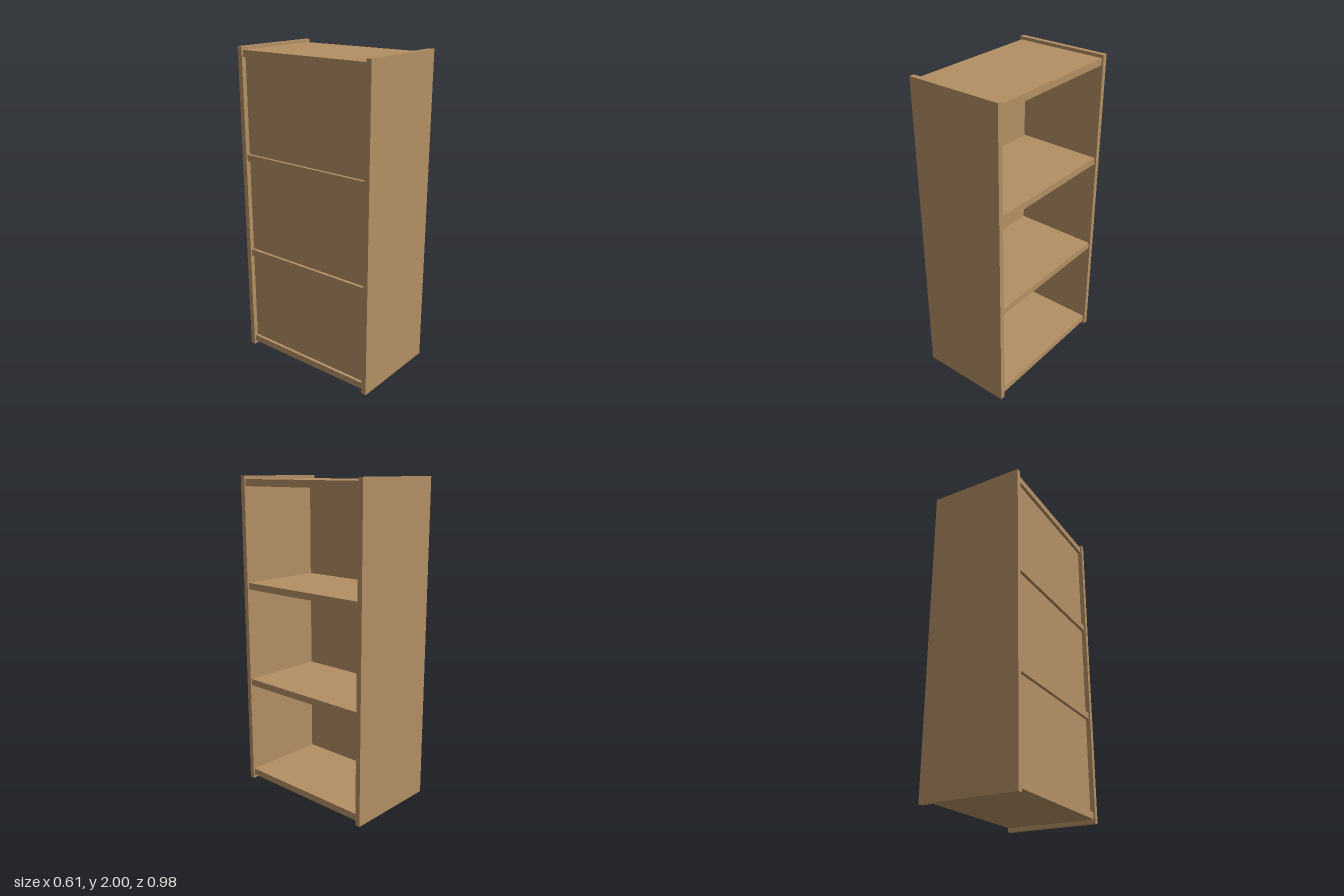
import * as THREE from 'three';

export function createModel() {
  const group = new THREE.Group();
  const wood = new THREE.MeshStandardMaterial({ color: 0xb38f64 });

  const addBoard = (name, size, position) => {
    const board = new THREE.Mesh(new THREE.BoxGeometry(...size), wood);
    board.name = name;
    board.position.set(...position);
    group.add(board);
  };

  const height = 2, depth = 0.61, sideThickness = 0.032, halfLength = 0.488;
  const innerLength = 2 * (halfLength - sideThickness);
  const boardThickness = 0.042, boardDepth = 0.59;

  // Full-height end panels; the case opens towards +x
  for (const s of [1, -1]) {
    addBoard(s > 0 ? 'frontSidePanel' : 'rearSidePanel',
      [depth, height, sideThickness], [0, height / 2, s * (halfLength - sideThickness / 2)]);
  }

  // Bottom board, two shelves and top board, evenly spaced
  const names = ['bottomBoard', 'lowerShelf', 'upperShelf', 'topBoard'];
  const firstY = 0.045, step = 0.638;
  names.forEach((name, i) => {
    addBoard(name, [boardDepth, boardThickness, innerLength], [0, firstY + i * step, 0]);
  });

  // Thin backing set in behind each compartment
  for (let i = 0; i < 3; i++) {
    addBoard('backPanel' + (i + 1), [0.012, step - boardThickness, innerLength],
      [-0.269, firstY + (i + 0.5) * step, 0]);
  }

  return group;
}
